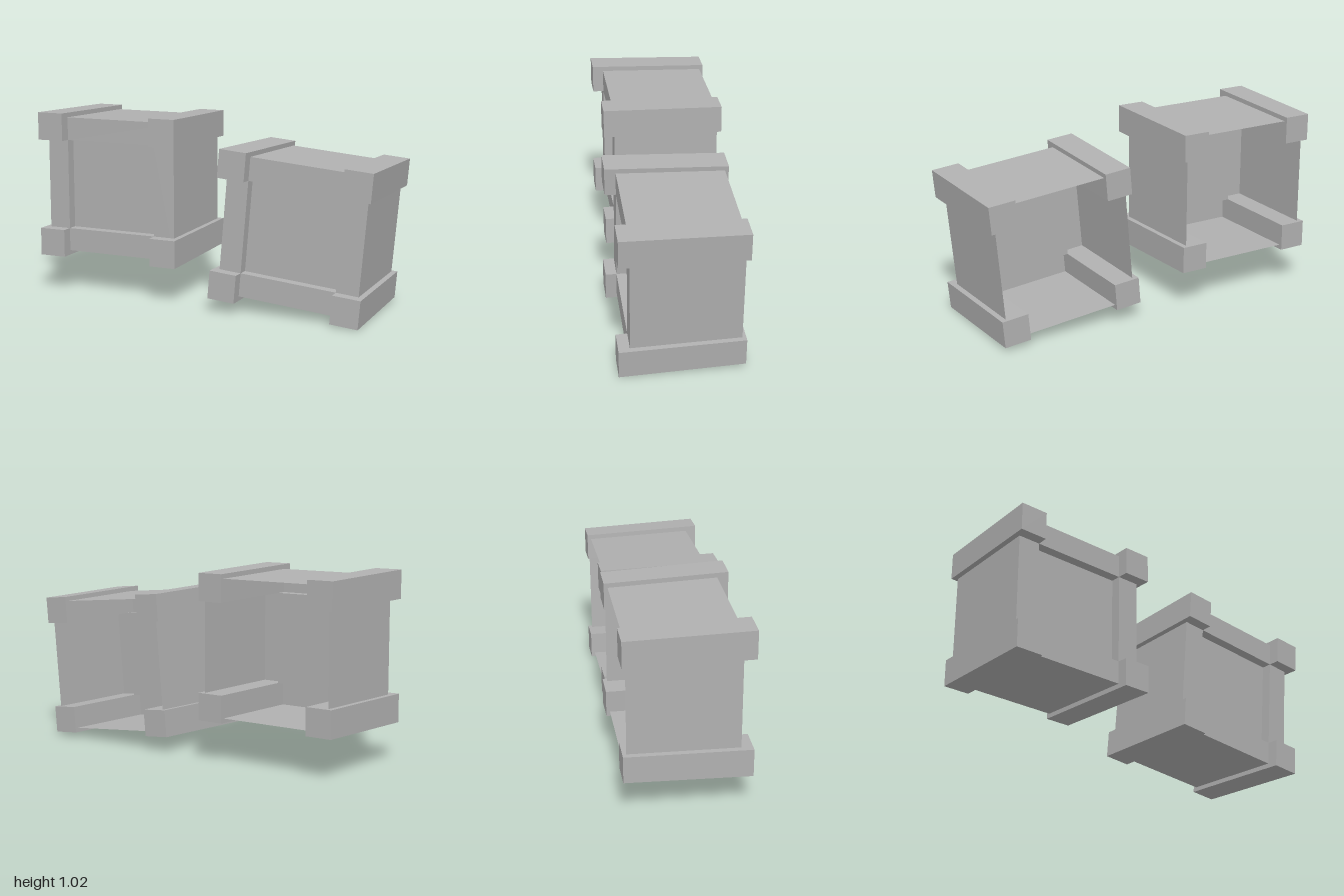
import * as THREE from 'three';
import { mergeGeometries } from 'three/addons/utils/BufferGeometryUtils.js';

const grey = new THREE.MeshStandardMaterial({ color: 0xb0b0b0, side: THREE.DoubleSide });
grey.name = 'plain grey';

const FRONT = 0.31, BACK = -0.35;            // ends of the rails
const BODY_FRONT = 0.25, BODY_BACK = -0.33;  // ends of the thin shell
const W = 0.428, H = 0.409;                  // half size over the rails
const BW = 0.398, BH = 0.383;                // half size of the shell
const RAIL = 0.155;                          // rail thickness
const PW = W - RAIL, PH = H - RAIL;          // half size of the sunk panel
const DEPTH = 0.055;                         // how far the panel is sunk

// Narrow the cross-section towards the back
function taper(geometry) {
  const g = geometry.index ? geometry.toNonIndexed() : geometry;
  const p = g.attributes.position;
  for (let i = 0; i < p.count; i++) {
    const s = 1 - 0.038 * (FRONT - p.getZ(i)) / (FRONT - BACK);
    p.setXY(i, p.getX(i) * s, p.getY(i) * s);
  }
  g.computeVertexNormals();
  return g;
}

// Four flat walls around the z axis, facing out (1) or in (-1)
function tunnel(hw, hh, z0, z1, facing) {
  const length = z1 - z0, walls = [];
  for (const side of [-1, 1]) {
    walls.push(new THREE.PlaneGeometry(length, 2 * hh)
      .rotateY(side * facing * Math.PI / 2).translate(side * hw, 0, (z0 + z1) / 2));
    walls.push(new THREE.PlaneGeometry(2 * hw, length)
      .rotateX(-side * facing * Math.PI / 2).translate(0, side * hh, (z0 + z1) / 2));
  }
  return mergeGeometries(walls);
}

function rectangle(target, hw, hh) {
  target.moveTo(-hw, -hh).lineTo(hw, -hh).lineTo(hw, hh).lineTo(-hw, hh).closePath();
  return target;
}

function createCrate(name) {
  const crate = new THREE.Group();
  crate.name = name;
  const add = (part, geometry) => {
    const mesh = new THREE.Mesh(taper(geometry), grey);
    mesh.name = part;
    crate.add(mesh);
  };

  // Shell, open at the back
  add('shellWalls', tunnel(BW, BH, BODY_BACK, BODY_FRONT, 1));

  // Front frame with a sunk panel
  const frame = rectangle(new THREE.Shape(), BW, BH);
  frame.holes.push(rectangle(new THREE.Path(), PW, PH));
  add('frontFrame', new THREE.ShapeGeometry(frame).translate(0, 0, BODY_FRONT));
  add('panelEdge', tunnel(PW, PH, BODY_FRONT - DEPTH, BODY_FRONT, -1));
  add('frontPanel', new THREE.PlaneGeometry(2 * PW, 2 * PH).translate(0, 0, BODY_FRONT - DEPTH));

  // Corner rails running front to back
  for (const x of [-1, 1]) for (const y of [-1, 1]) {
    add((y > 0 ? 'top' : 'bottom') + (x > 0 ? 'Left' : 'Right') + 'Rail',
      new THREE.BoxGeometry(RAIL, RAIL, FRONT - BACK).translate(
        x * (W - RAIL / 2), y * (H - RAIL / 2), (FRONT + BACK) / 2));
  }
  return crate;
}

export function createModel() {
  const model = new THREE.Group();
  model.name = 'pairOfCrates';

  const upright = createCrate('uprightCrate');
  upright.position.set(-0.572, 0.617, 0);

  const tilted = createCrate('tiltedCrate');
  tilted.position.set(0.536, 0.449, 0.04);
  tilted.rotation.z = -0.086;

  model.add(upright, tilted);
  return model;
}
